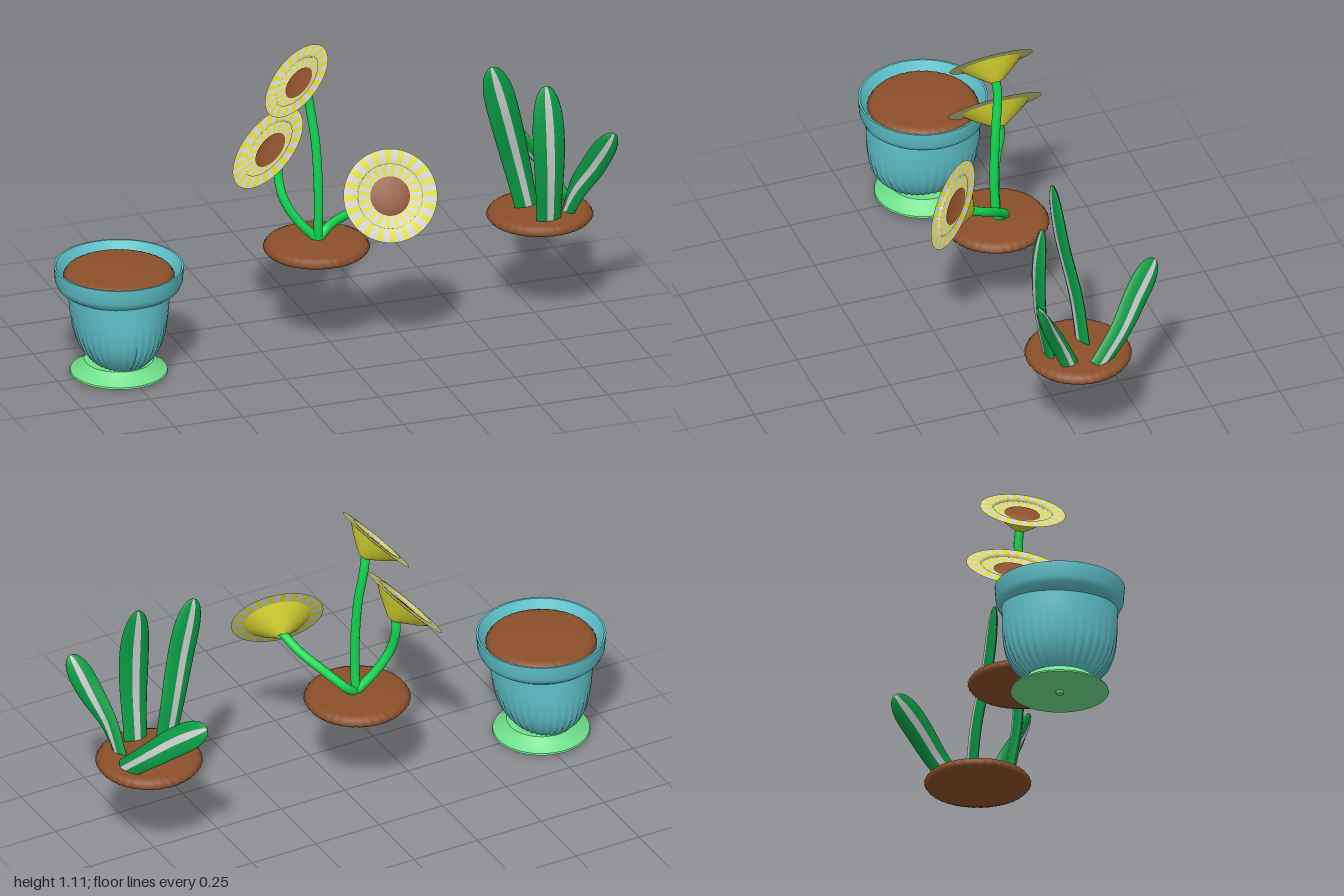
import * as THREE from 'three';
import { mergeGeometries, toCreasedNormals } from 'three/addons/utils/BufferGeometryUtils.js';

const mat = (color) => new THREE.MeshStandardMaterial({ color, side: THREE.DoubleSide });
const TEAL = mat(0x5fc4cc), MINT = mat(0x6fe08a), SOIL = mat(0x8b4f2a), STEM = mat(0x10d850),
  LEAF = mat(0x0a9a45), YELLOW = mat(0xd8d632), GREY = mat(0xcccccc);

const V = (a) => new THREE.Vector3(...a);
const profile = (pts) => pts.map(([r, y]) => new THREE.Vector2(r, y));

function add(parent, name, geometry, material) {
  const mesh = new THREE.Mesh(geometry, material);
  mesh.name = name;
  parent.add(mesh);
  return mesh;
}

function lathe(pts, segments, start, length) {
  return new THREE.LatheGeometry(profile(pts), segments, start, length);
}

// Flattened disc of earth with a scalloped edge
function soil(parent, x, radius) {
  const g = lathe([[0, -0.027], [0.8, -0.022], [0.95, -0.012], [1, 0], [0.95, 0.014], [0.85, 0.023], [0, 0.027]]
    .map(([r, y]) => [r * radius, y]), 144);
  flute(g, 36, () => 0.012);
  add(parent, 'soil', g, SOIL).position.set(x, 0.37, 0);
}

// Pushes vertices in and out around the axis; also narrows in x where asked
function flute(g, count, depth, narrow = () => 1) {
  const p = g.attributes.position;
  for (let i = 0; i < p.count; i++) {
    const x = p.getX(i), y = p.getY(i), z = p.getZ(i);
    const k = 1 - depth(y) * (0.5 + 0.5 * Math.cos(count * Math.atan2(z, x)));
    p.setXYZ(i, x * k * narrow(y), y, z * k);
  }
  g.computeVertexNormals();
}

function pot() {
  const group = new THREE.Group();
  group.name = 'pot';
  const body = lathe([[0.114, 0.05], [0.14, 0.07], [0.168, 0.1], [0.187, 0.14], [0.196, 0.18],
    [0.2, 0.23], [0.201, 0.28], [0.202, 0.33]], 144);
  flute(body, 36, (y) => 0.07 * Math.max(0, 1 - (y - 0.05) / 0.19),
    (y) => 0.76 + 0.1 * Math.min(1, (y - 0.05) / 0.25));
  add(group, 'potBody', body, TEAL);
  const rim = lathe([[0.165, 0.315], [0.197, 0.32], [0.212, 0.332], [0.221, 0.352], [0.225, 0.405],
    [0.218, 0.405], [0.203, 0.375], [0.19, 0.345]], 64);
  add(group, 'potRim', toCreasedNormals(rim, 0.7), TEAL);
  const saucer = lathe([[0, 0], [0.012, 0.001], [0.014, 0.01], [0.17, 0.01], [0.168, 0.016],
    [0.145, 0.03], [0.12, 0.054], [0, 0.054]], 48);
  add(group, 'saucer', toCreasedNormals(saucer, 0.6), MINT);
  soil(group, 0, 0.194);
  group.position.x = -0.775;
  return group;
}

// Funnel flower head: local +y is the direction it faces
function flowerHead(R) {
  const head = new THREE.Group();
  head.name = 'flowerHead';
  const sectors = 40, step = (Math.PI * 2) / sectors, stripes = [[], []];
  for (let i = 0; i < sectors; i++) {
    stripes[i % 2].push(
      lathe([[R, 0], [R * 0.7, 0.004], [R * 0.68, -0.008]], 2, i * step, step),
      lathe([[R, 0], [R * 0.72, -0.006]], 2, i * step, step),
      lathe([[R * 0.68, -0.008], [R * 0.42, -0.012]], 2, (i + 1) * step, step));
  }
  add(head, 'yellowPetals', mergeGeometries(stripes[0]), YELLOW);
  add(head, 'greyPetals', mergeGeometries(stripes[1]), GREY);
  add(head, 'flowerFunnel', lathe([[0.016, -0.075], [0.03, -0.066], [R * 0.5, -0.034], [R * 0.74, -0.004]], 40), YELLOW);
  add(head, 'flowerCentre', lathe([[R * 0.45, -0.016], [R * 0.4, -0.009], [R * 0.2, -0.006], [0, -0.005]], 32), SOIL);
  return head;
}

function flower(center, normal, radius, stemPoints) {
  const group = new THREE.Group();
  group.name = 'flower';
  const n = V(normal).normalize(), c = V(center);
  const head = flowerHead(radius);
  head.position.copy(c);
  head.quaternion.setFromUnitVectors(new THREE.Vector3(0, 1, 0), n);
  group.add(head);
  const path = new THREE.CatmullRomCurve3([...stemPoints.map(V), c.clone().addScaledVector(n, -0.055)]);
  add(group, 'flowerStem', new THREE.TubeGeometry(path, 32, 0.016, 14), STEM);
  return group;
}

// Skins a list of cross-section rows (each an array of Vector3)
function skin(rows, closed) {
  const m = rows[0].length, index = [];
  for (let i = 0; i < rows.length - 1; i++) {
    for (let j = 0; j < (closed ? m : m - 1); j++) {
      const a = i * m + j, b = i * m + (j + 1) % m;
      index.push(a, b, a + m, b, b + m, a + m);
    }
  }
  const g = new THREE.BufferGeometry().setFromPoints(rows.flat());
  g.setIndex(index);
  g.computeVertexNormals();
  return g;
}

// Thick blade with a lens-shaped section, round tip and a pale rib on both faces
function leaf(points, wide0, wide1, baseHalf, maxHalf, peak) {
  const group = new THREE.Group();
  group.name = 'leaf';
  const path = new THREE.CatmullRomCurve3(points.map(V)), N = 30;
  const body = [], ribs = [[], []];
  for (let i = 0; i <= N; i++) {
    const t = 1 - (1 - i / N) ** 1.5;
    const c = path.getPoint(t), axis = path.getTangent(t);
    const w = V(wide0).lerp(V(wide1), t);
    w.addScaledVector(axis, -w.dot(axis)).normalize();
    const d = new THREE.Vector3().crossVectors(w, axis);
    const grow = THREE.MathUtils.smoothstep(t, 0, peak);
    const s = Math.max(0, (t - peak) / (1 - peak));
    const tip = Math.sqrt(Math.max(0, 1 - s ** 2.6));
    const half = (baseHalf + (maxHalf - baseHalf) * grow) * tip + 0.0005;
    const thick = 0.016 * tip + 0.0003;
    const at = (u, v) => c.clone().addScaledVector(w, u).addScaledVector(d, v);
    const ring = [];
    for (let k = 0; k < 16; k++) {
      const a = (k / 16) * Math.PI * 2;
      ring.push(at(Math.cos(a) * half, Math.sin(a) * Math.abs(Math.sin(a)) ** 0.4 * thick));
    }
    body.push(ring);
    const r = half * 0.25;
    [1, -1].forEach((side, k) => ribs[k].push([-r, 0, r].map((u) => at(u, side * (thick + 0.0015)))));
  }
  add(group, 'leafBlade', skin(body, true), LEAF);
  ribs.forEach((rows) => add(group, 'leafRib', skin(rows, false), GREY));
  return group;
}

export function createModel() {
  const model = new THREE.Group();
  model.name = 'pottedPlantSet';
  model.add(pot());

  // Three flowers on their own soil
  const flowers = new THREE.Group();
  flowers.name = 'flowers';
  soil(flowers, -0.05, 0.186);
  flowers.add(
    flower([-0.12, 1.0, -0.008], [-0.73, 0.69, 0], 0.149,
      [[-0.045, 0.38, 0], [-0.045, 0.55, 0.008], [-0.052, 0.75, 0], [-0.07, 0.9, -0.014]]),
    flower([-0.208, 0.74, -0.055], [-0.72, 0.69, 0], 0.166,
      [[-0.04, 0.39, 0], [-0.11, 0.465, -0.02], [-0.157, 0.55, -0.04], [-0.17, 0.64, -0.06]]),
    flower([0.14, 0.625, 0.228], [-0.23, 0.46, 0.86], 0.163,
      [[-0.045, 0.39, 0], [0, 0.43, -0.015], [0.06, 0.49, 0.03], [0.12, 0.55, 0.1]]));
  model.add(flowers);

  // Four leaves on their own soil
  const leaves = new THREE.Group();
  leaves.name = 'leaves';
  soil(leaves, 0.77, 0.186);
  leaves.add(
    leaf([[0.735, 0.38, -0.03], [0.695, 0.55, -0.02], [0.635, 0.77, 0.012], [0.582, 0.96, 0.025]],
      [1, 0.2, -0.2], [1, 0.3, 0], 0.045, 0.057, 0.7),
    leaf([[0.765, 0.38, 0.105], [0.757, 0.58, 0.135], [0.752, 0.75, 0.138], [0.748, 0.905, 0.122]],
      [1, 0, 0], [1, 0, 0], 0.045, 0.058, 0.55),
    leaf([[0.85, 0.38, 0.055], [0.87, 0.49, 0.105], [0.912, 0.6, 0.16], [0.962, 0.735, 0.218]],
      [0.2, -0.4, 0.9], [1, -0.3, 0.1], 0.03, 0.044, 0.75),
    leaf([[0.885, 0.38, -0.03], [0.84, 0.48, -0.13], [0.775, 0.57, -0.215], [0.708, 0.65, -0.305]],
      [0, 0.68, 0.73], [0, 0.68, 0.73], 0.038, 0.052, 0.7));
  model.add(leaves);
  return model;
}
